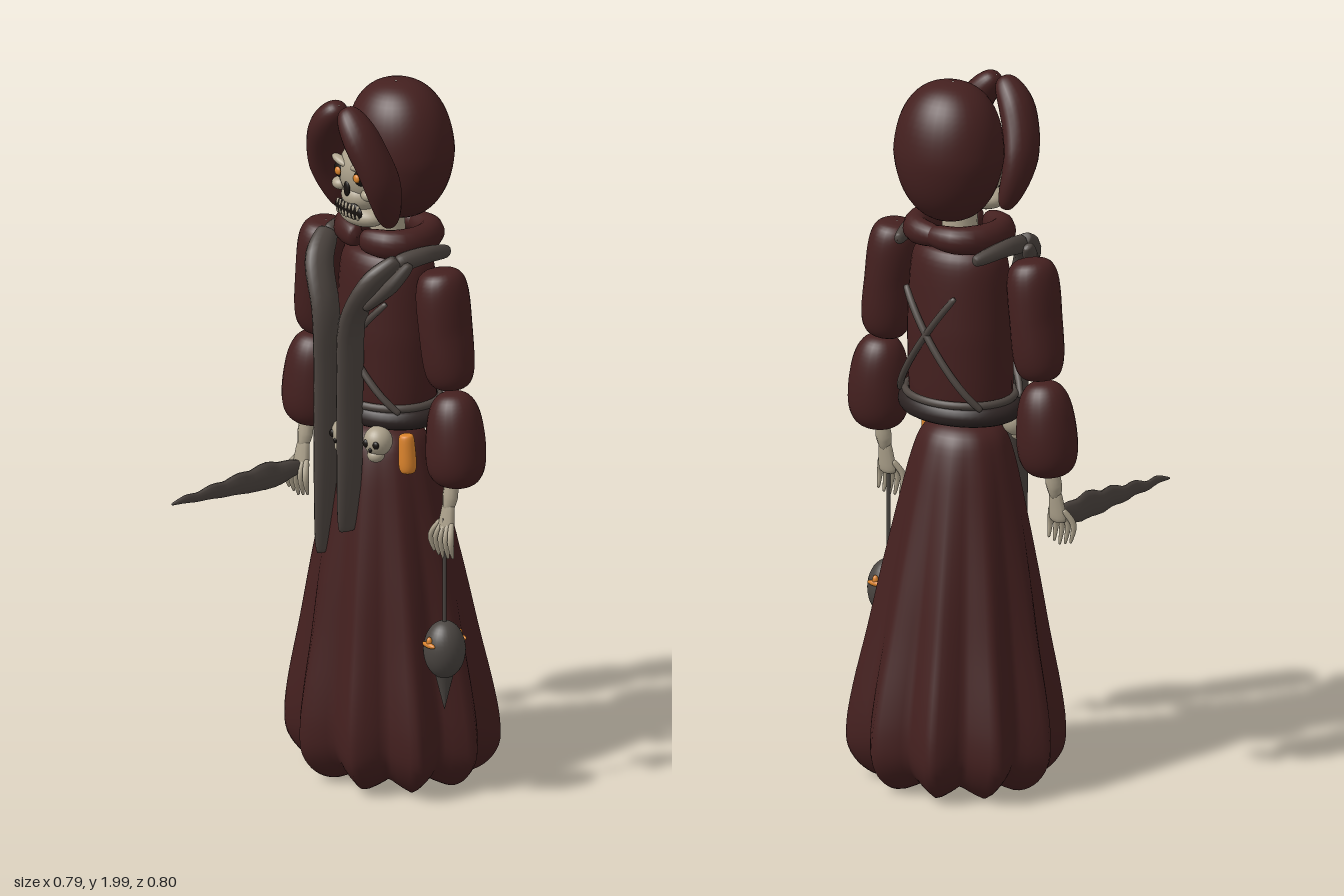
import * as THREE from 'three';
import { mergeVertices } from 'three/addons/utils/BufferGeometryUtils.js';

const mat = (name, color, side = THREE.FrontSide) => {
  const m = new THREE.MeshStandardMaterial({ color, side });
  m.name = name;
  return m;
};
const V = (p) => new THREE.Vector3(...p);

// Closed tapering sweep: radii are [across, along ref]; power sets how square the ends are.
function sweep(points, radii, { power = 2, ref = [0, 0, 1], rows = 20, sides = 20 } = {}) {
  const curve = new THREE.CatmullRomCurve3(points.map(V));
  const pos = [], index = [], refV = V(ref);
  for (let i = 0; i <= rows; i++) {
    const u = (1 - Math.cos((Math.PI * i) / rows)) / 2;
    const c = curve.getPoint(u), t = curve.getTangent(u);
    const side = t.clone().cross(refV).normalize(), up = side.clone().cross(t);
    const k = u * (radii.length - 1), n = Math.min(Math.floor(k), radii.length - 2);
    const dome = Math.max(0.02, (1 - Math.abs(2 * u - 1) ** power) ** (1 / power));
    const [a, b] = [0, 1].map((q) => dome * THREE.MathUtils.lerp(radii[n][q], radii[n + 1][q], k - n));
    for (let j = 0; j < sides; j++) {
      const th = (j / sides) * Math.PI * 2;
      const p = c.clone().addScaledVector(side, a * Math.cos(th)).addScaledVector(up, b * Math.sin(th));
      pos.push(p.x, p.y, p.z);
      if (i < rows) {
        const p0 = i * sides + j, p1 = i * sides + ((j + 1) % sides);
        index.push(p0, p0 + sides, p1, p1, p0 + sides, p1 + sides);
      }
    }
  }
  const g = new THREE.BufferGeometry();
  g.setAttribute('position', new THREE.Float32BufferAttribute(pos, 3));
  g.setIndex(index);
  g.computeVertexNormals();
  return g;
}

// Pleated skirt: a lathe whose radius follows ten pointed folds that fade upward.
function skirtGeometry() {
  const profile = [[0, 0.06], [0.1, 0.04], [0.18, 0.02], [0.24, 0.045], [0.28, 0.1], [0.287, 0.17], [0.275, 0.27],
    [0.245, 0.43], [0.215, 0.6], [0.175, 0.8], [0.145, 0.93], [0.115, 1.0], [0.06, 1.03], [0, 1.035]];
  const line = new THREE.SplineCurve(profile.map((p) => new THREE.Vector2(...p))).getPoints(52);
  line.forEach((p) => { p.x = Math.max(0, p.x); });
  let g = new THREE.LatheGeometry(line, 100);
  g.deleteAttribute('uv');
  g.deleteAttribute('normal');
  g = mergeVertices(g, 1e-5);
  const p = g.attributes.position;
  for (let i = 0; i < p.count; i++) {
    const x = p.getX(i), y = p.getY(i), z = p.getZ(i);
    const turn = (Math.atan2(z, x) * 180 / Math.PI - 28 + 720) / 36;
    const fold = Math.abs((turn % 1) - 0.5) * 4 - 1;
    const k = 1 + fold * 0.11 * THREE.MathUtils.clamp(1.05 - y, 0, 0.95);
    const drop = y < 0.3 ? fold * 0.015 * (1 - y / 0.3) : 0;
    p.setXYZ(i, x * k - 0.018, y - drop, z * k * 0.9 - 0.125 + 0.035 * y);
  }
  g.computeVertexNormals();
  return g;
}

export function createModel() {
  const root = new THREE.Group();
  root.name = 'robedSkeleton';
  const cloth = mat('maroon cloth', 0x44201f);
  const strap = mat('grey strap', 0x4d4540);
  const bone = mat('bone', 0xada28c);
  const dark = mat('black hollow', 0x17120f);
  const leather = mat('dark leather', 0x2c2322);
  const orange = mat('orange glow', 0xd9822b);
  const iron = mat('iron', 0x4a4541);

  const add = (name, geo, m, at = [0, 0, 0], scale = [1, 1, 1], parent = root) => {
    const mesh = new THREE.Mesh(geo, m);
    mesh.name = name;
    mesh.position.set(...at);
    mesh.scale.set(...scale);
    parent.add(mesh);
    return mesh;
  };
  const ball = new THREE.SphereGeometry(1, 28, 20);
  const CX = -0.015;

  // Robe body
  add('skirt', skirtGeometry(), cloth);
  add('torso', sweep([[CX, 1.54, -0.1], [CX, 1.3, -0.1], [CX, 1.03, -0.095]],
    [[0.145, 0.115], [0.158, 0.127], [0.155, 0.125]], { power: 7, rows: 28, sides: 32 }), cloth);

  // Ring helper for collar, belt and waist cord
  const ring = (name, r, tube, y, m, sx, sz, sy = 1) => {
    const g = new THREE.TorusGeometry(r, tube, 14, 48).rotateX(Math.PI / 2);
    add(name, g, m, [CX, y, -0.1], [sx, sy, sz]);
  };
  ring('belt', 0.16, 0.027, 1.075, leather, 1, 0.78);
  ring('waistCord', 0.16, 0.011, 1.11, strap, 1, 0.85);
  for (const s of [-1, 1]) {
    add('collarHalf', sweep([[CX + s * 0.01, 1.573, 0], [CX + s * 0.1, 1.575, -0.035], [CX + s * 0.12, 1.575, -0.11],
      [CX + s * 0.08, 1.575, -0.19], [CX - s * 0.02, 1.575, -0.205]],
    [[0.03, 0.04], [0.036, 0.042], [0.036, 0.04], [0.034, 0.035]], { power: 5, ref: [0, 1, 0] }), cloth);
  }
  add('neck', new THREE.CylinderGeometry(0.045, 0.055, 0.16, 16), bone, [CX, 1.57, -0.1]);

  // Hood: rounded shell behind the face and two flaps framing it
  add('hood', sweep([[CX, 2.0, -0.13], [CX, 1.8, -0.145], [CX, 1.61, -0.14]],
    [[0.15, 0.135], [0.16, 0.141], [0.135, 0.125]], { power: 2.4, rows: 30, sides: 36 }), cloth);
  for (const s of [-1, 1]) {
    add('hoodFlap', sweep([[CX + s * 0.012, 1.97, 0.06], [CX + s * 0.075, 1.89, 0.05], [CX + s * 0.118, 1.77, 0.015],
      [CX + s * 0.1, 1.63, -0.03]],
    [[0.045, 0.05], [0.045, 0.056], [0.042, 0.056], [0.038, 0.045]], { power: 2.8, rows: 28 }), cloth);
  }

  // Skull face
  const skull = new THREE.Group();
  skull.name = 'skull';
  skull.position.set(CX, 0, 0);
  root.add(skull);
  const face = (name, m, at, scale) => add(name, ball, m, at, scale, skull);
  face('cranium', bone, [0, 1.765, -0.03], [0.085, 0.09, 0.075]);
  face('upperJaw', bone, [0, 1.7, -0.015], [0.06, 0.045, 0.06]);
  face('lowerJaw', bone, [0, 1.645, -0.015], [0.078, 0.034, 0.056]);
  face('nose', dark, [0, 1.728, 0.042], [0.012, 0.022, 0.006]);
  face('mouth', dark, [0, 1.668, 0.036], [0.058, 0.026, 0.01]);
  for (const s of [-1, 1]) {
    face('eyeSocket', dark, [s * 0.04, 1.768, 0.028], [0.028, 0.024, 0.014]);
    face('eye', orange, [s * 0.04, 1.768, 0.041], [0.012, 0.012, 0.007]);
    face('cheekbone', bone, [s * 0.062, 1.72, 0.012], [0.026, 0.018, 0.025]);
    face('brow', bone, [s * 0.04, 1.797, 0.032], [0.034, 0.011, 0.015]).rotation.z = s * 0.25;
  }
  for (let i = -3; i <= 3; i++) for (const y of [1.679, 1.656]) {
    face('tooth', bone, [i * 0.014, y, 0.044 - Math.abs(i) * 0.002], [0.005, 0.01, 0.006]);
  }

  // Crossed cords, front and back
  for (const f of [-1, 1]) for (const s of [-1, 1]) {
    const pts = [];
    for (let i = 0; i <= 8; i++) {
      const dx = -0.15 + i * (f > 0 ? 0.034 : 0.03);
      pts.push([CX + s * dx, 1.1 + i * 0.04, -0.1 + f * (0.135 * Math.sqrt(1 - (dx / 0.18) ** 2) + 0.004)]);
    }
    add('crossCord', sweep(pts, [[0.01, 0.01], [0.01, 0.01]], { power: 8, sides: 8 }), strap);
  }

  // Long hanging stole, with strands at the shoulders
  for (const [s, x, bottom, w] of [[-1, -0.065, 0.665, 0.021], [1, 0.033, 0.755, 0.019]]) {
    const X = (d) => CX + s * d;
    add('stole', sweep([[X(0.15), 1.55, -0.015], [X(0.115), 1.49, 0.045], [x + s * 0.01, 1.37, 0.068], [x, 1.2, 0.07],
      [x, 0.95, 0.072], [x, bottom, 0.08]],
    [[0.022, 0.035], [0.028, 0.045], [0.023, 0.046], [w, 0.046], [w, 0.044], [0.013, 0.036]],
    { power: 9, rows: 32, sides: 12 }), strap);
    add('shoulderStrand', sweep([[X(0.185), 1.545, -0.03], [X(0.155), 1.48, 0.015], [X(0.1), 1.41, 0.06]],
      [[0.014, 0.02], [0.018, 0.025], [0.012, 0.02]], { power: 5, sides: 10 }), strap);
    add('backStrand', sweep([[X(0.15), 1.54, -0.01], [X(0.165), 1.55, -0.1], [X(0.14), 1.53, -0.2]],
      [[0.03, 0.022], [0.025, 0.02], [0.02, 0.016]], { power: 5, ref: [1, 0, 0], sides: 10 }), strap);
  }

  // Small skulls and a vial on the belt
  [[-0.125, 0.005, -0.35], [CX, 0.045, 0], [0.092, 0.02, 0.3]].forEach(([x, z, turn]) => {
    const g = new THREE.Group();
    g.name = 'beltSkull';
    g.position.set(x, 1.015, z);
    g.rotation.y = turn;
    root.add(g);
    add('smallCranium', ball, bone, [0, 0.006, 0], [0.04, 0.042, 0.04], g);
    add('smallJaw', ball, bone, [0, -0.032, 0.01], [0.024, 0.02, 0.024], g);
    add('smallNose', ball, dark, [0, -0.01, 0.038], [0.005, 0.007, 0.004], g);
    for (const s of [-1, 1]) add('smallSocket', ball, dark, [s * 0.016, 0.006, 0.035], [0.01, 0.011, 0.006], g);
  });
  add('vial', sweep([[0.152, 1.045, -0.03], [0.16, 0.935, -0.03]], [[0.02, 0.02], [0.027, 0.027]], { power: 4 }), orange);

  // Sleeves and bony hands
  for (const [s, ux, lx, hx] of [[-1, -0.282, -0.318, -0.33], [1, 0.25, 0.297, 0.295]]) {
    add('upperSleeve', sweep([[ux - s * 0.02, 1.535, -0.085], [ux, 1.37, -0.088], [ux + s * 0.02, 1.2, -0.092]],
      [[0.075, 0.078], [0.068, 0.077], [0.076, 0.07]], { power: 4, rows: 28, sides: 24 }), cloth);
    add('lowerSleeve', sweep([[lx - s * 0.012, 1.195, -0.085], [lx, 1.06, -0.085], [lx + s * 0.006, 0.928, -0.08]],
      [[0.072, 0.07], [0.085, 0.08], [0.092, 0.085]], { power: 3, rows: 28, sides: 24 }), cloth);
    const hand = new THREE.Group();
    hand.name = 'hand';
    root.add(hand);
    const boneOf = (name, pts, radii) => add(name, sweep(pts, radii, { power: 5, rows: 12, sides: 10 }), bone, [0, 0, 0], [1, 1, 1], hand);
    boneOf('forearm', [[hx, 0.96, -0.075], [hx, 0.9, -0.068], [hx, 0.86, -0.06]], [[0.018, 0.018], [0.024, 0.02], [0.016, 0.016]]);
    boneOf('palm', [[hx, 0.88, -0.063], [hx, 0.79, -0.05]], [[0.016, 0.014], [0.033, 0.016]]);
    for (let i = -2; i <= 2; i++) {
      boneOf('finger', [[hx + i * 0.011, 0.83, -0.055], [hx + i * 0.021, 0.785, -0.035], [hx + i * 0.02, 0.722 + Math.abs(i) * 0.006, -0.045]],
        [[0.008, 0.009], [0.008, 0.01], [0.004, 0.005]]);
    }
  }

  // Jagged blade in the right hand
  const bladePts = [], bladeR = [];
  for (let i = 0; i <= 10; i++) {
    const u = i / 10, wob = i % 2 ? 1 : -1;
    bladePts.push([-0.327 + wob * 0.002, 0.805 + 0.003 * wob, -0.06 + u * 0.46]);
    bladeR.push([0.013 - 0.008 * u, i < 3 ? 0.018 + i * 0.009 : 0.048 * (1 - u) + 0.006 + wob * 0.002]);
  }
  add('blade', sweep(bladePts, bladeR, { power: 8, ref: [0, 1, 0], rows: 36, sides: 10 }), strap);

  // Hanging lantern in the left hand
  const LX = 0.296, LZ = -0.047;
  add('lanternChain', new THREE.CylinderGeometry(0.006, 0.006, 0.32, 8), iron, [LX, 0.68, LZ]);
  add('lanternBody', ball, iron, [LX, 0.46, LZ], [0.058, 0.082, 0.058]);
  add('lanternSpike', new THREE.ConeGeometry(0.027, 0.11, 12).rotateX(Math.PI), iron, [LX, 0.338, LZ]);
  for (const s of [-1, 1]) {
    add('lanternSlit', ball, orange, [LX, 0.484, LZ + s * 0.055], [0.026, 0.008, 0.008]);
    add('lanternGlow', ball, orange, [LX, 0.493, LZ + s * 0.053], [0.009, 0.014, 0.008]);
  }
  return root;
}
